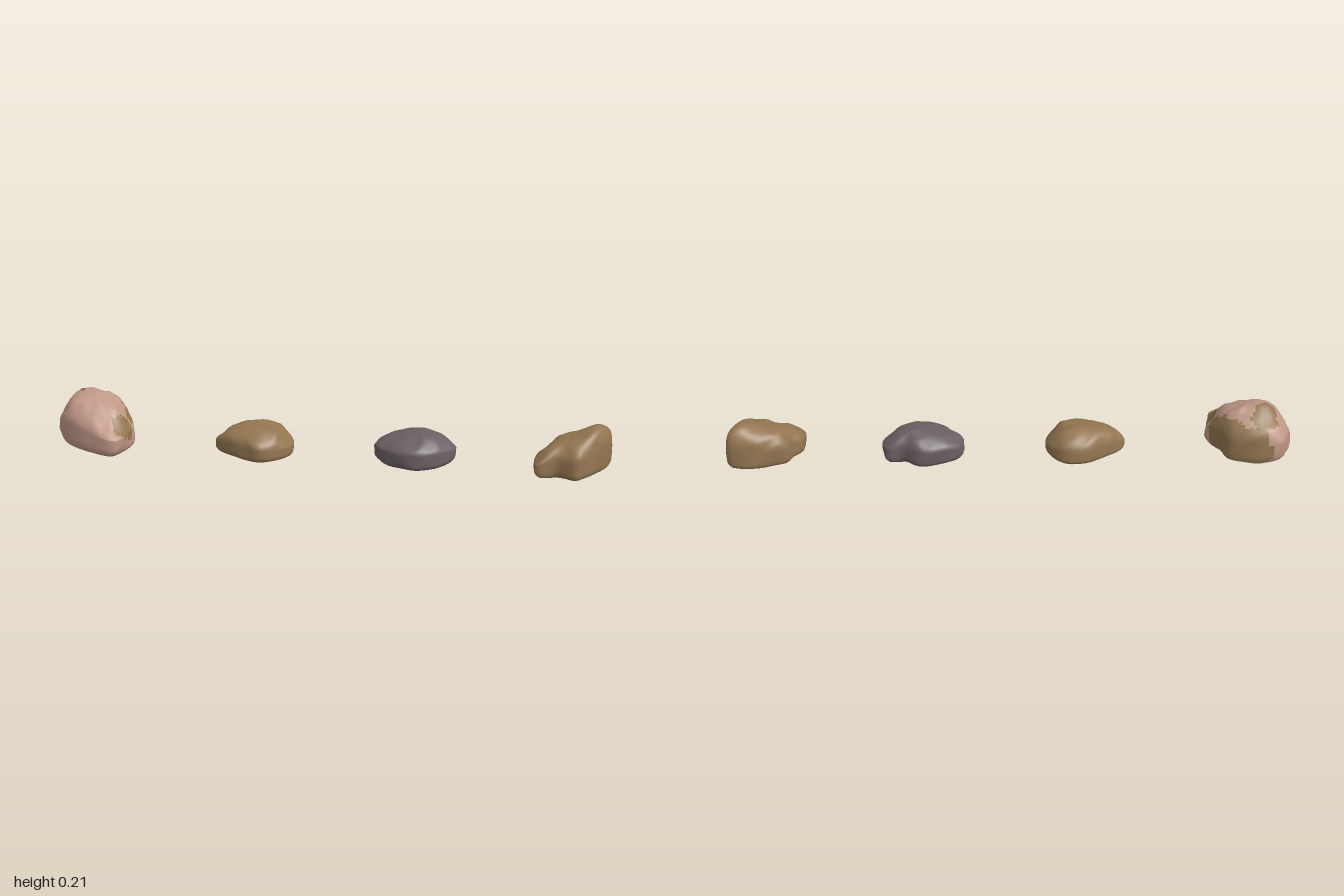
import * as THREE from 'three';

const mat = (name, color) => Object.assign(new THREE.MeshStandardMaterial({ color }), { name });
const brown = mat('brown stone', 0x937651);
const pink = mat('pink stone', 0xc09887);
const grey = mat('grey stone', 0x6b6164);

const SIDES = 48, RINGS = 22;

// Linear interpolation through values evenly spaced from min to max
function sample(values, v, min, max) {
  const t = THREE.MathUtils.clamp((v - min) / (max - min), 0, 1) * (values.length - 1);
  const i = Math.min(Math.floor(t), values.length - 2);
  return THREE.MathUtils.lerp(values[i], values[i + 1], t - i);
}

// Smooth lumps and pits, from 0 to 1
function lumps(x, y, z, seed) {
  const wave = (f, s) =>
    Math.sin(x * f + s + 1.7 * Math.sin(z * f * 0.7 + s)) *
    Math.sin(y * f * 0.9 + 2 * s + 1.3 * Math.sin(x * f * 0.6)) +
    Math.sin(z * f + 3 * s + 1.5 * Math.sin(y * f * 0.8 + x * f * 0.5));
  return THREE.MathUtils.clamp(0.5 + 0.18 * wave(38, seed) + 0.12 * wave(75, seed * 1.9), 0, 1);
}

// plan: outline from above; ridge: top heights along x; depth: height factors along z;
// mid: height of the widest level; rough: depth of the pits
function stone({ name, material, plan, ridge, depth, mid, seed, rough, patches = [] }) {
  const outline = new THREE.CatmullRomCurve3(
    plan.map(([x, z]) => new THREE.Vector3(x, 0, z)), true, 'catmullrom', 0.4);
  const { min, max } = new THREE.Box3().setFromPoints(outline.points);
  const c = min.clone().add(max).multiplyScalar(0.5);
  const pos = [];

  const add = (p, scale, lift) => {
    const x = c.x + (p.x - c.x) * scale, z = c.z + (p.z - c.z) * scale;
    const top = sample(ridge, x, min.x, max.x) * sample(depth, z, min.z, max.z);
    let y = mid + lift * (lift > 0 ? Math.max(top - mid, 0.008) : mid);
    // pits press the surface inward
    const pit = rough * lumps(x, y, z, seed);
    y -= pit * lift * (lift > 0 ? 1 : 0.25 * (1 + lift));
    const dir = new THREE.Vector3(x, 0, z).sub(c).setLength(pit * 0.8 * scale * scale);
    pos.push(x - dir.x, Math.max(y, 0), z - dir.z);
  };

  // blocky rings from the flat underside to the top
  add(c, 0, -1);
  for (let j = 0; j < RINGS; j++) {
    const a = ((j + 1) / (RINGS + 1) - 0.5) * Math.PI;
    const power = a < 0 ? 0.42 : 0.57;
    const scale = Math.cos(a) ** power;
    const lift = Math.sign(a) * Math.abs(Math.sin(a)) ** power;
    for (let i = 0; i < SIDES; i++) add(outline.getPointAt(i / SIDES), scale, lift);
  }
  add(c, 0, 1);

  // faces sorted into plain stone and patches of the second stone
  const faces = [[], []];
  const face = (...f) => {
    const [x, y, z] = [0, 1, 2].map(n => f.reduce((s, v) => s + pos[v * 3 + n], 0) / 3);
    const edge = 0.75 + 0.5 * lumps(x, y, z, 4);
    const patched = y > 0.025 && patches.some(([px, py, pz, r]) =>
      Math.hypot(x - px, y - py, z - pz) < r * edge);
    faces[patched ? 1 : 0].push(...f);
  };
  const last = pos.length / 3 - 1, at = (j, i) => 1 + j * SIDES + i % SIDES;
  for (let i = 0; i < SIDES; i++) {
    face(0, at(0, i), at(0, i + 1));
    for (let j = 0; j < RINGS - 1; j++) {
      face(at(j, i), at(j + 1, i), at(j, i + 1));
      face(at(j, i + 1), at(j + 1, i), at(j + 1, i + 1));
    }
    face(at(RINGS - 1, i), last, at(RINGS - 1, i + 1));
  }

  const geo = new THREE.BufferGeometry();
  geo.setAttribute('position', new THREE.Float32BufferAttribute(pos, 3));
  geo.setIndex(faces.flat());
  geo.addGroup(0, faces[0].length, 0);
  geo.addGroup(faces[0].length, faces[1].length, 1);
  geo.computeVertexNormals();
  const mesh = new THREE.Mesh(geo, [material, brown]);
  mesh.name = name;
  return mesh;
}

export function createModel() {
  const group = new THREE.Group();
  group.name = 'stones';

  // tall pink boulder with brown patches
  group.add(stone({
    name: 'pinkBoulder', material: pink, mid: 0.075, seed: 1.3, rough: 0.014,
    plan: [[-1, -0.04], [-0.96, -0.125], [-0.88, -0.147], [-0.77, -0.115], [-0.735, -0.05],
      [-0.7, 0.03], [-0.74, 0.145], [-0.85, 0.117], [-0.96, 0.045]],
    ridge: [0.135, 0.195, 0.216, 0.204, 0.188, 0.12],
    depth: [0.72, 1, 0.88, 0.5],
    patches: [[-0.76, 0.07, -0.08, 0.1], [-0.89, 0.19, -0.085, 0.055],
      [-0.73, 0.1, 0.07, 0.05], [-0.85, 0.08, -0.13, 0.07]],
  }));

  // low brown stone
  group.add(stone({
    name: 'flatBrownStone', material: brown, mid: 0.042, seed: 2.6, rough: 0.01,
    plan: [[-0.416, 0], [-0.32, -0.08], [-0.26, -0.11], [-0.18, -0.105], [-0.131, -0.04],
      [-0.122, 0.015], [-0.155, 0.068], [-0.24, 0.11], [-0.34, 0.06]],
    ridge: [0.07, 0.108, 0.118, 0.122, 0.116, 0.06],
    depth: [0.85, 1, 0.98, 0.75],
  }));

  // grey stone that steps down at its left end
  group.add(stone({
    name: 'greyStone', material: grey, mid: 0.055, seed: 4.1, rough: 0.011,
    plan: [[0.161, 0], [0.18, -0.068], [0.286, -0.112], [0.334, -0.105], [0.382, -0.068],
      [0.44, -0.068], [0.454, 0], [0.4, 0.07], [0.313, 0.106], [0.21, 0.07]],
    ridge: [0.08, 0.104, 0.117, 0.127, 0.114, 0.075],
    depth: [0.85, 1, 0.97, 0.75],
  }));

  // brown wedge that rises towards its left end
  group.add(stone({
    name: 'brownWedgeStone', material: brown, mid: 0.05, seed: 5.7, rough: 0.011,
    plan: [[0.727, 0.02], [0.765, -0.02], [0.785, -0.065], [0.9, -0.1], [0.995, -0.09],
      [0.99, -0.03], [0.93, 0.055], [0.874, 0.112], [0.8, 0.083], [0.73, 0.1]],
    ridge: [0.085, 0.12, 0.138, 0.152, 0.18, 0.188],
    depth: [0.97, 1, 0.95, 0.8],
  }));

  return group;
}
